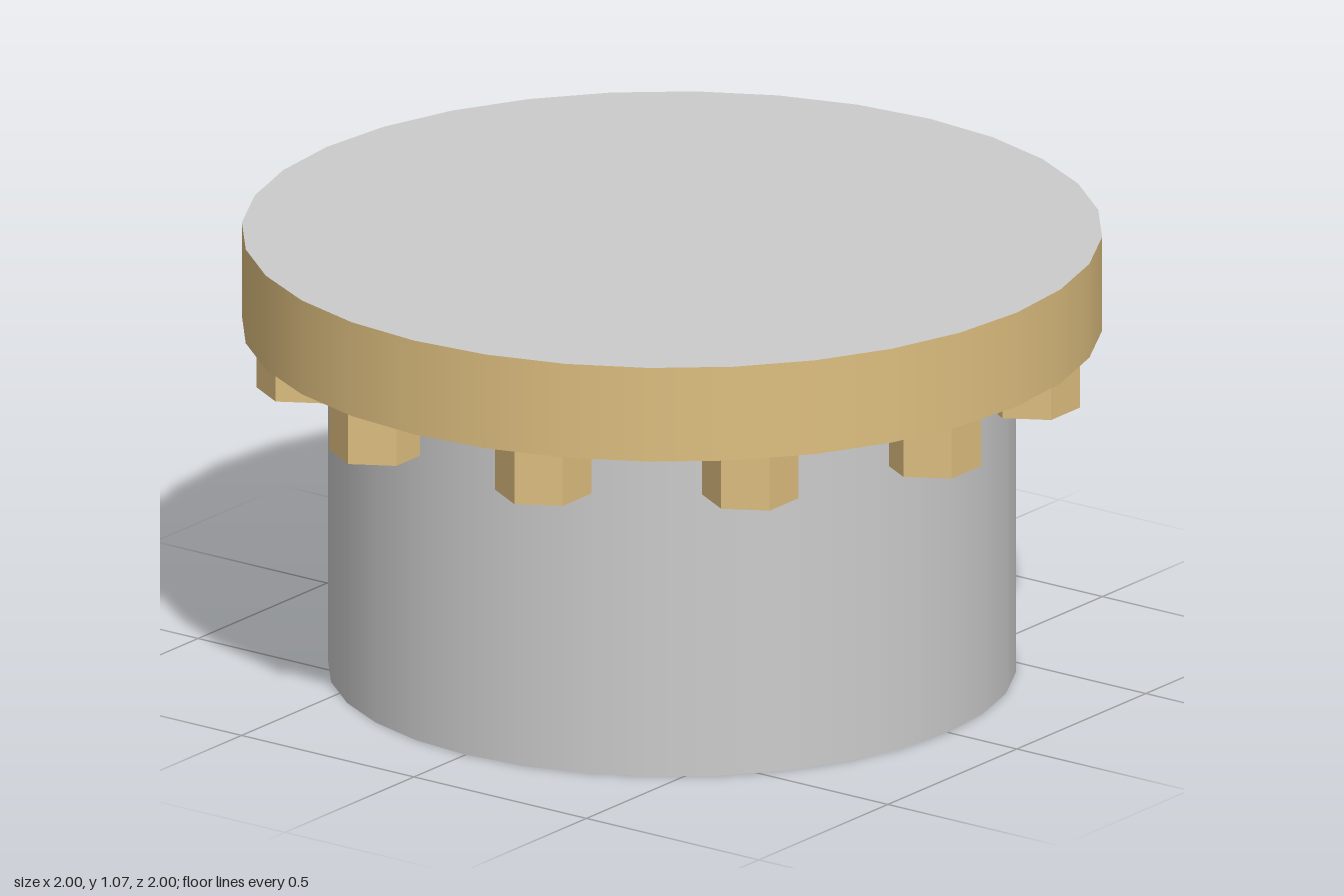
import * as THREE from 'three';

export function createModel() {
  const model = new THREE.Group();
  const grey = new THREE.MeshStandardMaterial({ color: 0xcccccc });
  const gold = new THREE.MeshStandardMaterial({ color: 0xddbe7f });
  const goldFlat = new THREE.MeshStandardMaterial({ color: 0xddbe7f, flatShading: true });

  // Upright prism from y0 to y1; sides and end caps have their own materials
  function addPrism(name, radius, y0, y1, sides, sideMaterial, x = 0, z = 0) {
    const geometry = new THREE.CylinderGeometry(radius, radius, y1 - y0, sides, 1, false, Math.PI / 2);
    const mesh = new THREE.Mesh(geometry, [sideMaterial, grey, grey]);
    mesh.name = name;
    mesh.position.set(x, (y0 + y1) / 2, z);
    model.add(mesh);
  }

  // Plain drum and the wide rim plate on top
  addPrism('body', 0.8, 0, 0.84, 32, grey);
  addPrism('rim', 1, 0.84, 1.07, 32, gold);

  // Ring of hexagonal studs under the rim, all turned the same way
  const studs = 11;
  for (let i = 0; i < studs; i++) {
    const a = (i / studs) * Math.PI * 2;
    addPrism(`stud${i + 1}`, 0.113, 0.7, 0.84, 6, goldFlat, 0.855 * Math.cos(a), 0.855 * Math.sin(a));
  }
  return model;
}
